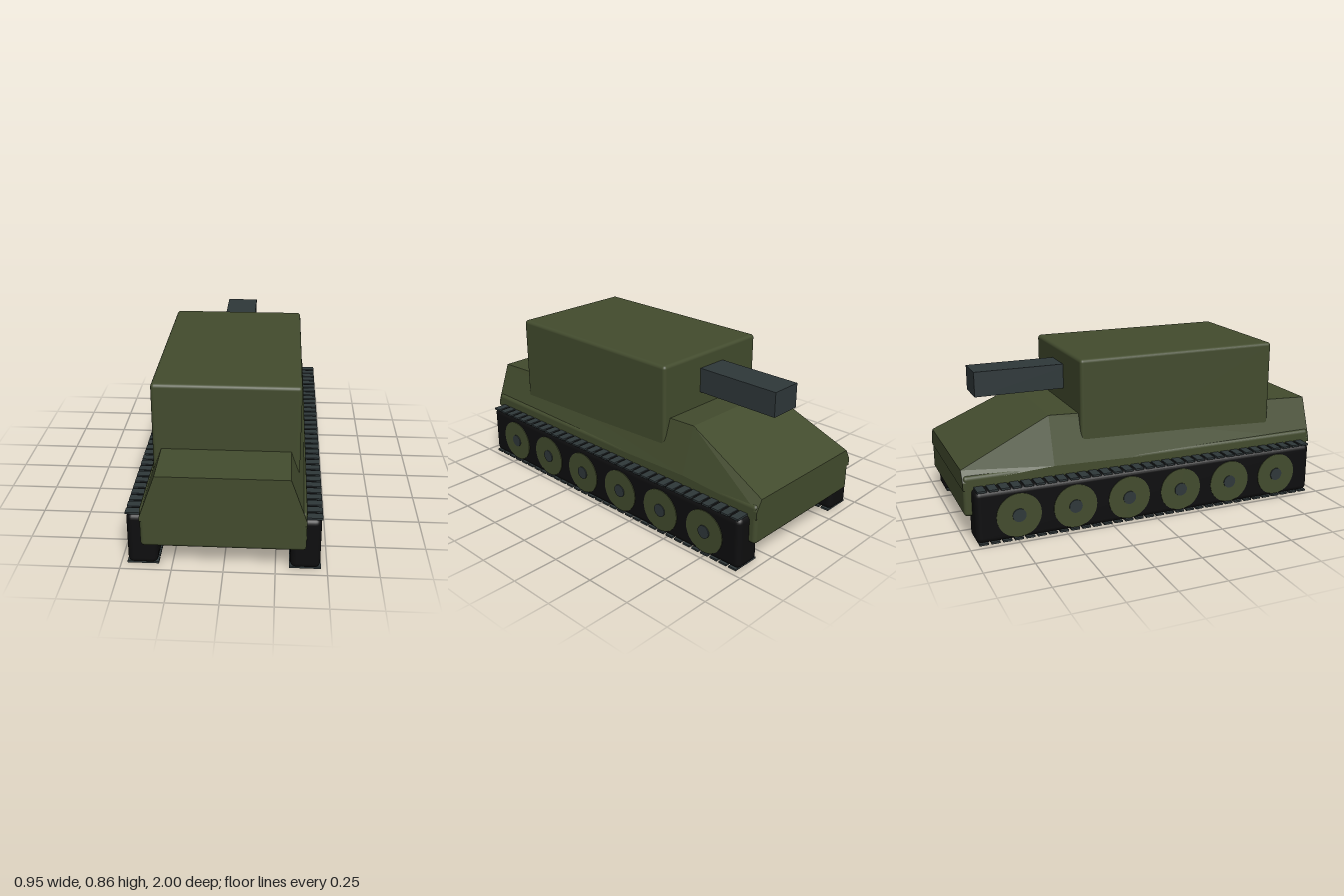
import * as THREE from 'three';
import { RoundedBoxGeometry } from 'three/addons/geometries/RoundedBoxGeometry.js';

const paint = (name, color) => {
  const m = new THREE.MeshStandardMaterial({ color });
  m.name = name;
  return m;
};

// Box given by its min and max corners, with optional rounded edges
function block(name, material, min, max, radius = 0) {
  const s = max.map((v, i) => v - min[i]);
  const geometry = radius
    ? new RoundedBoxGeometry(s[0], s[1], s[2], 3, radius)
    : new THREE.BoxGeometry(...s);
  const mesh = new THREE.Mesh(geometry, material);
  mesh.name = name;
  mesh.position.set(...max.map((v, i) => (v + min[i]) / 2));
  return mesh;
}

// Faceted upper hull lofted through mirrored cross-sections
function upperHullGeometry() {
  // z, bottom y, shoulder y, shoulder half width, roof y, roof half width
  const stations = [
    [1, 0.27, 0.29, 0.395, 0.513, 0.315],
    [-0.53, 0.27, 0.335, 0.395, 0.58, 0.315],
    [-1, 0.27, 0.31, 0.395, 0.367, 0.36],
  ];
  const positions = [], index = [], n = 6;
  for (const [z, y0, y1, w, y2, r] of stations) {
    positions.push(-w, y0, z, w, y0, z, w, y1, z, r, y2, z, -r, y2, z, -w, y1, z);
  }
  for (let s = 0; s < stations.length - 1; s++) {
    for (let i = 0; i < n; i++) {
      const a = s * n + i, b = s * n + (i + 1) % n;
      index.push(a, a + n, b, a + n, b + n, b);
    }
  }
  const last = (stations.length - 1) * n;
  for (let i = 1; i < n - 1; i++) {
    index.push(0, i, i + 1, last, last + i + 1, last + i);
  }
  const indexed = new THREE.BufferGeometry();
  indexed.setAttribute('position', new THREE.Float32BufferAttribute(positions, 3));
  indexed.setIndex(index);
  const geometry = indexed.toNonIndexed();
  geometry.computeVertexNormals();
  return geometry;
}

export function createModel() {
  const olive = paint('olive armour', 0x434c2e);
  const steel = paint('dark steel', 0x2f383a);
  const rubber = paint('black rubber', 0x0e0e0f);

  const model = new THREE.Group();
  model.name = 'trackedVehicle';

  // Hull, superstructure and gun
  model.add(block('lowerHull', olive, [-0.395, 0.13, -0.998], [0.395, 0.34, 0.998], 0.02));
  const upperHull = new THREE.Mesh(upperHullGeometry(), olive);
  upperHull.name = 'upperHull';
  model.add(upperHull);
  model.add(block('superstructure', olive, [-0.358, 0.3, -0.37], [0.358, 0.86, 0.743], 0.018));
  model.add(block('gun', steel, [-0.088, 0.65, -0.85], [0.088, 0.782, -0.3]));

  // Running gear on both sides
  const wheelGeometry = new THREE.CylinderGeometry(0.116, 0.116, 0.06, 32).rotateZ(Math.PI / 2);
  const hubGeometry = new THREE.CylinderGeometry(0.035, 0.035, 0.06, 20).rotateZ(Math.PI / 2);
  const plateGeometry = new THREE.BoxGeometry(0.154, 0.01, 0.045);
  for (const side of [1, -1]) {
    const gear = new THREE.Group();
    gear.name = side > 0 ? 'leftTrack' : 'rightTrack';
    const belt = block('trackBelt', rubber, [-0.073, 0.004, -0.96], [0.073, 0.28, 0.96], 0.03);
    gear.add(belt);

    for (let i = 0; i < 6; i++) {
      const z = 0.742 - i * 0.2968;
      const wheel = new THREE.Mesh(wheelGeometry, olive);
      wheel.name = 'roadWheel';
      wheel.position.set(side * 0.047, 0.132, z);
      const hub = new THREE.Mesh(hubGeometry, steel);
      hub.name = 'wheelHub';
      hub.position.set(side * 0.052, 0.132, z);
      gear.add(wheel, hub);
    }

    // Tread plates along the upper and lower runs
    const count = 32;
    for (let i = 0; i < count; i++) {
      const z = -0.925 + (1.85 * i) / (count - 1);
      for (const y of [0.005, 0.28]) {
        const plate = new THREE.Mesh(plateGeometry, steel);
        plate.name = 'treadPlate';
        plate.position.set(0, y, z);
        gear.add(plate);
      }
    }
    gear.position.x = side * 0.393;
    model.add(gear);
  }
  return model;
}
